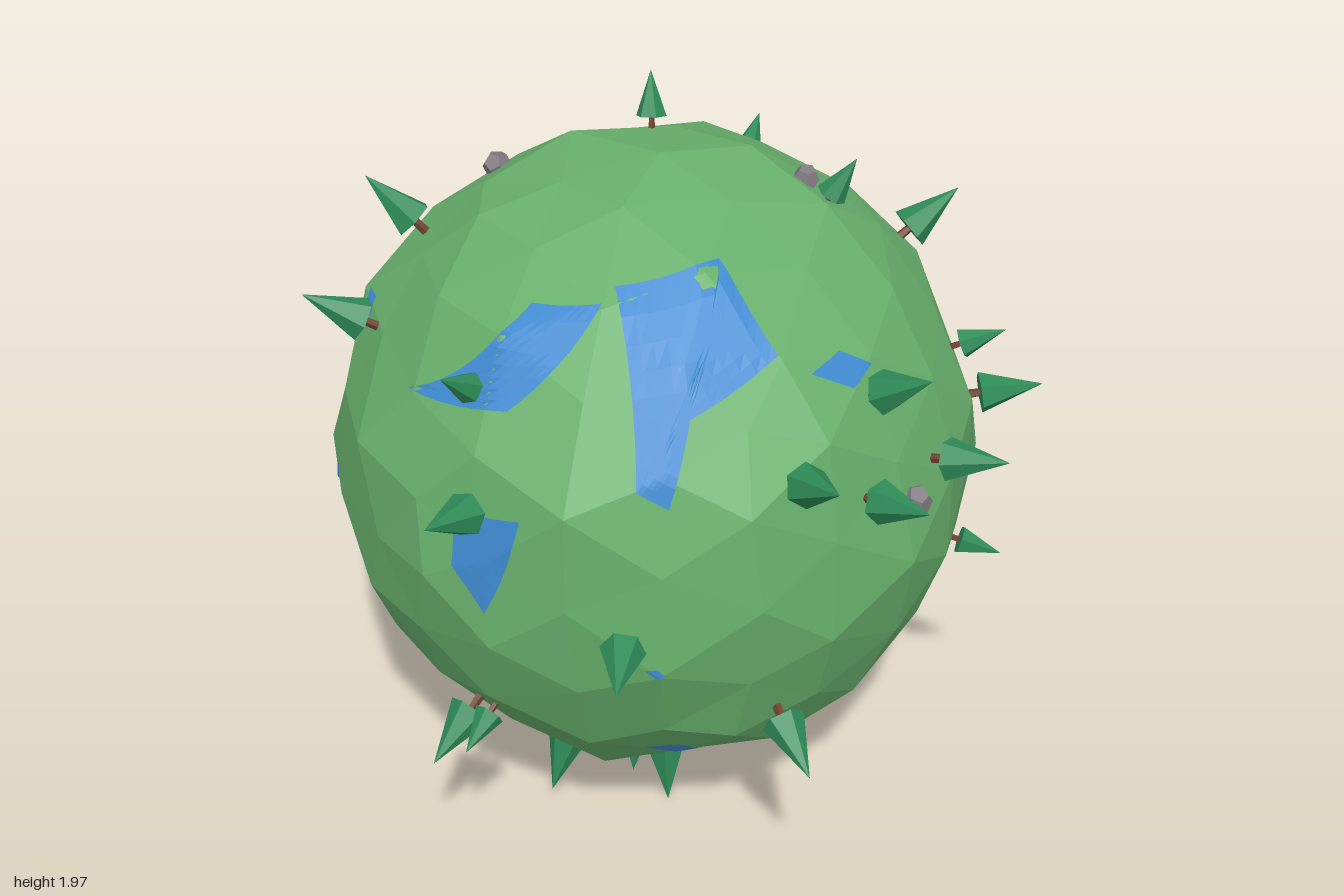
import * as THREE from 'three';

const CENTRE = new THREE.Vector3(-0.06, 1.035, -0.05);
const RADIUS = 0.855;
const UP = new THREE.Vector3(0, 1, 0);

// Trees by size: how far the tips reach from the centre, and longitude, latitude in degrees
const FORESTS = [
  { reach: 1.055, spots: [
    [91, 36], [75, 8], [42, 14], [30, 31], [9, 22], [23, 15], [-22, -3], [7, -26], [-49, 16],
    [-96, 31], [-114, 45], [-57, -32], [-11, -73], [147, -72], [-60, -66], [86, -59], [86, -43],
  ] },
  { reach: 0.995, spots: [
    [164, 74], [68, 59], [67, 23], [-55, 35], [-52, -31], [-112, -41], [-33, -76], [118, -14], [115, -18],
    [119, -25], [130, -30], [65, -17], [173, 24], [140, 40], [139, 29], [140, 3], [-177, -33],
  ] },
];
const ROCKS = [[34, 10], [153, 20], [117, -13], [130, -49], [-139, 55], [77, 63]];

// Small lakes: longitude, latitude, half length
const PONDS = [
  [25, 37, 0.09], [-13, -41, 0.08], [132, -8, 0.07], [-17, -9, 0.025], [-155, -7, 0.035],
  [-126, -7, 0.03], [-105, 31, 0.05], [-123, 25, 0.04], [-96, 1, 0.035],
];

// Large lakes: x, y corners in hundredths on a plane facing lon, lat, wrapped onto the ground
const LAKES = [
  { lon: 0, lat: 0, outlines: [
    [-22, 72, 4, 75, 12, 58, -12, 49, -20, 30, -27, 34],
    [-26, 69, -41, 67, -71, 42, -52, 47],
    [-67, 21, -53, 24, -62, -4, -68, 7],
    [39, -57, 48, -53, 47, -62, 36, -72],
  ] },
  { lon: 90, lat: 0, outlines: [
    [-30, -18, -18, -12, 12, -21, -3, -30, -30, -31],
    [21, 42, 29, 42, 35, 22, 22, -8, 18, 6],
    [57, 36, 70, 32, 70, 14, 58, 14],
    [-46, -53, -30, -60, -24, -72],
  ] },
  { lon: 0, lat: 90, outlines: [[-31, 60, -17, 65, 2, 60, -18, 54]] },
  { lon: 135, lat: -35, outlines: [
    [11, -12, 29, 13, 36, 5, 33, -8],
    [11, -12, 18, -36, -3, -37],
    [42, -24, 72, -16, 60, -38, 37, -36],
    [-63, -45, -17, -60, -40, -59],
    [-17, -60, 23, -62, 2, -77],
  ] },
];

function material(name, color) {
  const m = new THREE.MeshStandardMaterial({ color, flatShading: true });
  m.name = name;
  return m;
}

function direction(lon, lat) {
  const a = THREE.MathUtils.degToRad(lon), e = THREE.MathUtils.degToRad(lat);
  return new THREE.Vector3(Math.sin(a) * Math.cos(e), Math.sin(e), Math.cos(a) * Math.cos(e));
}

// Faceted ground with slightly shifted corners
function makeGround(mat) {
  const geo = new THREE.IcosahedronGeometry(RADIUS, 3);
  const pos = geo.attributes.position;
  for (let i = 0; i < pos.count; i++) {
    const x = pos.getX(i), y = pos.getY(i), z = pos.getZ(i);
    pos.setXYZ(i,
      x + 0.014 * Math.sin(17 * y + 9 * z),
      y + 0.014 * Math.sin(17 * z + 9 * x),
      z + 0.014 * Math.sin(17 * x + 9 * y));
  }
  geo.computeVertexNormals();
  const mesh = new THREE.Mesh(geo, mat);
  mesh.name = 'ground';
  return mesh;
}

// Thin water skin that follows the ground facets
function makeLake(contour, lon, lat, heightAt, mat) {
  const w = direction(lon, lat);
  const u = direction(lon + 90, 0);
  const v = w.clone().cross(u);
  if (THREE.ShapeUtils.isClockWise(contour)) contour.reverse();

  const wrap = (p) => {
    const depth = Math.sqrt(Math.max(0, RADIUS * RADIUS - p.lengthSq()));
    const d = u.clone().multiplyScalar(p.x).addScaledVector(v, p.y).addScaledVector(w, depth).normalize();
    return d.multiplyScalar(heightAt(d) + 0.004);
  };

  const n = 8, points = [];
  for (const [a, b, c] of THREE.ShapeUtils.triangulateShape(contour, [])) {
    const at = (i, j) => wrap(contour[a].clone().multiplyScalar((n - i - j) / n)
      .addScaledVector(contour[b], i / n).addScaledVector(contour[c], j / n));
    for (let i = 0; i < n; i++) {
      for (let j = 0; j < n - i; j++) {
        points.push(at(i, j), at(i + 1, j), at(i, j + 1));
        if (i + j < n - 1) points.push(at(i + 1, j), at(i + 1, j + 1), at(i, j + 1));
      }
    }
  }
  const geo = new THREE.BufferGeometry().setFromPoints(points);
  geo.computeVertexNormals();
  const mesh = new THREE.Mesh(geo, mat);
  mesh.name = 'lake';
  return mesh;
}

// Cone tree: bigger trees reach further out
function makeTree(dir, reach, leafMat, barkMat) {
  const size = (reach - 0.85) / 0.2;
  const coneLength = 0.165 * size, coneStart = reach - coneLength;
  const tree = new THREE.Group();
  tree.name = 'tree';
  const leaves = new THREE.Mesh(new THREE.ConeGeometry(0.056 * size, coneLength, 6), leafMat);
  leaves.name = 'treeTop';
  leaves.position.y = coneStart + coneLength / 2;
  const trunkLength = coneStart - 0.81;
  const trunk = new THREE.Mesh(new THREE.CylinderGeometry(0.011 * size, 0.014 * size, trunkLength, 5), barkMat);
  trunk.name = 'treeTrunk';
  trunk.position.y = 0.81 + trunkLength / 2;
  tree.add(leaves, trunk);
  tree.quaternion.setFromUnitVectors(UP, dir);
  return tree;
}

export function createModel() {
  const grass = material('grass green', 0x68b06c);
  const water = material('water blue', 0x3f8ad0);
  const leaf = material('tree green', 0x2e8b57);
  const bark = material('bark brown', 0x6b4230);
  const stone = material('stone grey', 0x807a80);

  const planet = new THREE.Group();
  planet.name = 'planet';
  planet.position.copy(CENTRE);
  const ground = makeGround(grass);
  planet.add(ground);

  // Ground height along a direction from the centre
  const ray = new THREE.Raycaster();
  const heightAt = (d) => {
    ray.set(d.clone().multiplyScalar(2), d.clone().negate());
    const hit = ray.intersectObject(ground)[0];
    return hit ? 2 - hit.distance : RADIUS;
  };

  for (const { lon, lat, outlines } of LAKES) {
    for (const o of outlines) {
      const contour = [];
      for (let i = 0; i < o.length; i += 2) contour.push(new THREE.Vector2(o[i], o[i + 1]).divideScalar(100));
      planet.add(makeLake(contour, lon, lat, heightAt, water));
    }
  }
  // Ponds share one kite shape
  for (const [lon, lat, r] of PONDS) {
    const kite = [[-1, 0.25], [0.1, -0.6], [1, -0.2], [0.2, 0.5]].map(([x, y]) => new THREE.Vector2(x * r, y * r));
    planet.add(makeLake(kite, lon, lat, heightAt, water));
  }
  for (const { reach, spots } of FORESTS) {
    for (const [lon, lat] of spots) planet.add(makeTree(direction(lon, lat), reach, leaf, bark));
  }
  ROCKS.forEach(([lon, lat], i) => {
    const d = direction(lon, lat);
    const rock = new THREE.Mesh(new THREE.DodecahedronGeometry(0.042 - 0.003 * (i % 3)), stone);
    rock.name = 'rock';
    rock.position.copy(d).multiplyScalar(heightAt(d) + 0.008);
    rock.rotation.set(i, i * 2, 0);
    planet.add(rock);
  });

  const model = new THREE.Group();
  model.name = 'forestPlanet';
  model.add(planet);
  return model;
}
